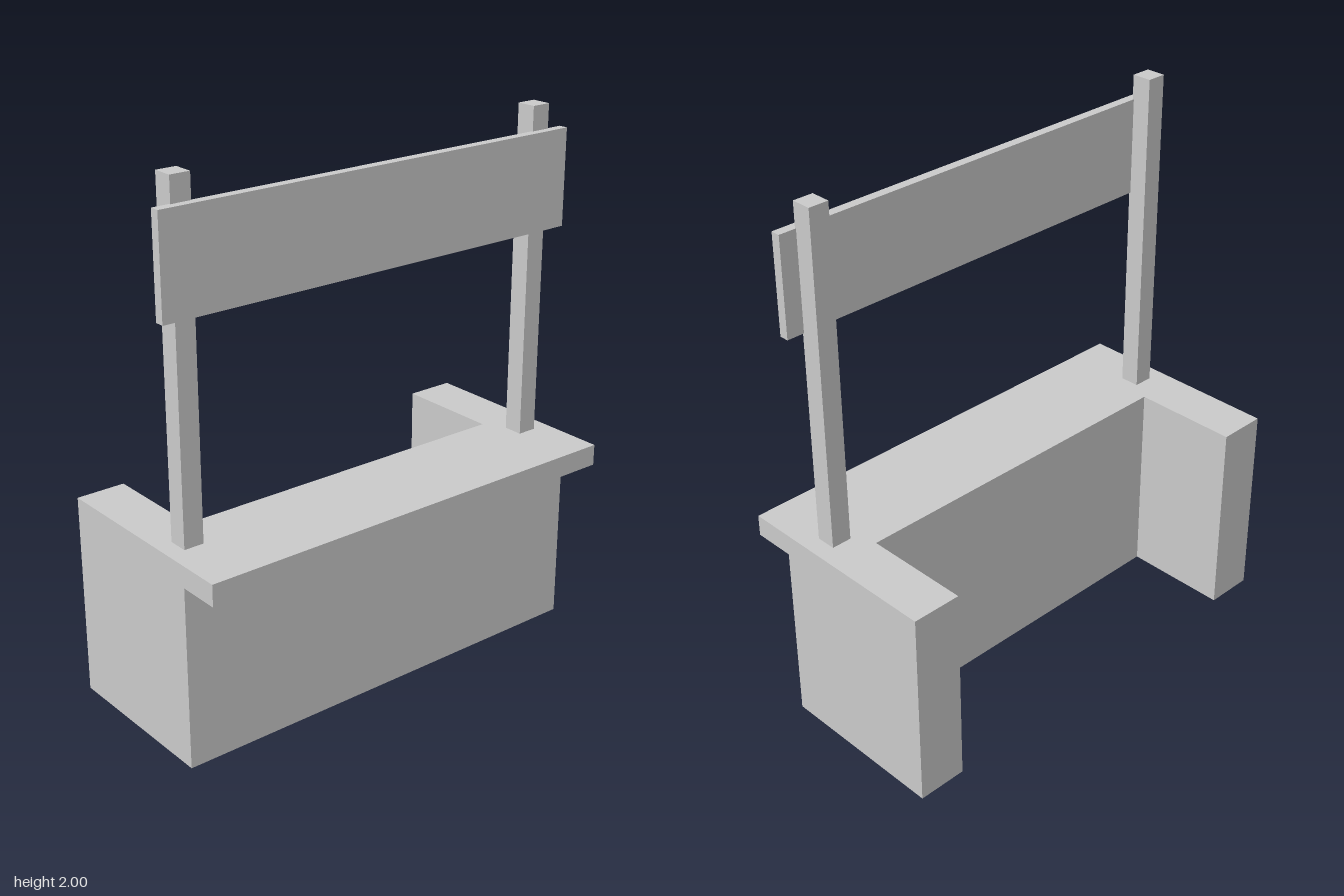
import * as THREE from 'three';

const material = new THREE.MeshStandardMaterial({ color: 0xcccccc, flatShading: true });

// Box given by its limits on each axis
function box(name, [x0, x1], [y0, y1], [z0, z1]) {
  const mesh = new THREE.Mesh(new THREE.BoxGeometry(x1 - x0, y1 - y0, z1 - z0), material);
  mesh.name = name;
  mesh.position.set((x0 + x1) / 2, (y0 + y1) / 2, (z0 + z1) / 2);
  return mesh;
}

export function createModel() {
  const group = new THREE.Group();
  group.name = 'marketStall';

  const W = 0.86, inner = 0.675, back = -0.405, front = 0.245, top = 0.76;
  const postX = [0.72, 0.795], postZ = [0.08, 0.155], recess = 0.03;

  // U-shaped counter, drawn in plan (shape y = -z) with sockets for the posts
  const plan = new THREE.Shape([
    [-W, -front], [W, -front], [W, -back], [inner, -back],
    [inner, 0], [-inner, 0], [-inner, -back], [-W, -back],
  ].map(([x, y]) => new THREE.Vector2(x, y)));
  for (const s of [-1, 1]) {
    const [a, b] = postX, [c, d] = postZ;
    plan.holes.push(new THREE.Path([[a, c], [b, c], [b, d], [a, d]]
      .map(([x, z]) => new THREE.Vector2(s * x, -z))));
  }
  const counterGeometry = new THREE.ExtrudeGeometry(plan, { depth: top, bevelEnabled: false });
  counterGeometry.rotateX(-Math.PI / 2);
  const counter = new THREE.Mesh(counterGeometry, material);
  counter.name = 'counter';
  group.add(counter);

  // Overhanging front ledge
  group.add(box('counterLedge', [-W, W], [0.68, top], [front, 0.405]));

  // Posts, ending slightly above the ground inside their sockets
  group.add(box('leftPost', postX, [recess, 2], postZ));
  group.add(box('rightPost', [-postX[1], -postX[0]], [recess, 2], postZ));

  // Sign board across the posts
  group.add(box('signBoard', [-W, W], [1.55, 1.91], [0.15, 0.185]));

  return group;
}
